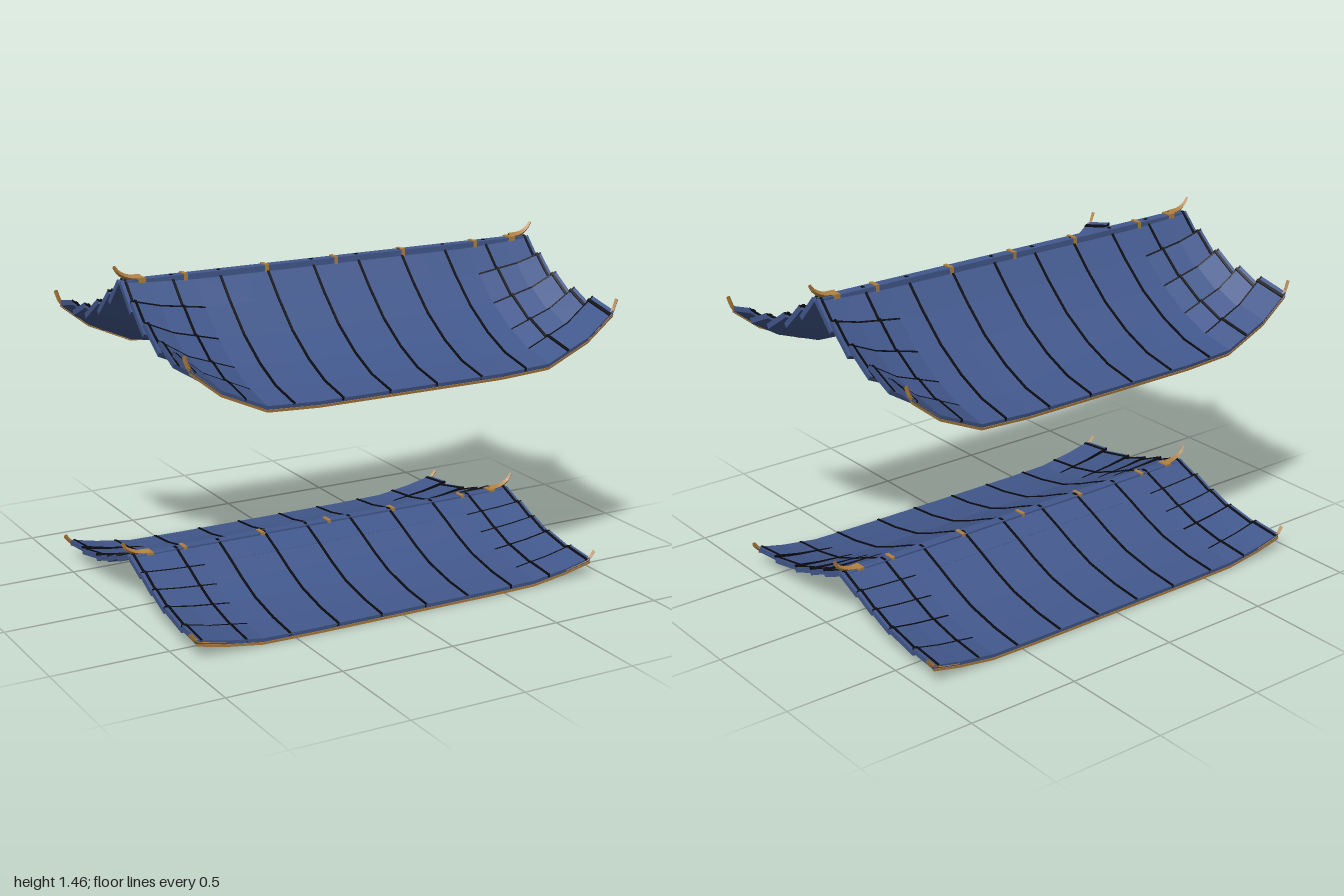
import * as THREE from 'three';
import { mergeGeometries } from 'three/addons/utils/BufferGeometryUtils.js';

const mat = (name, color) => {
  const m = new THREE.MeshStandardMaterial({ color, flatShading: true });
  m.name = name;
  return m;
};

// Two tiers; profile = [distance from ridge, underside height], eave to ridge
const TIERS = [
  {
    name: 'upperRoof', z: 0.035, half: 0.97, ridgeTop: 1.4, lift: 0.2, rowLift: [1, 0.78, 0.55, 0.32, 0.1],
    profile: [[0.645, 0.968], [0.495, 1.0], [0.36, 1.06], [0.22, 1.15], [0.1, 1.26], [0, 1.365]],
    battens: [0.107, 0.32, 0.535, 0.745, 0.95], hornTip: [0.99, 1.455], cornerTip: [0.99, 1.235],
  },
  {
    name: 'lowerRoof', z: -0.025, half: 0.94, ridgeTop: 0.222, lift: 0.055, rowLift: [1, 0.75, 0.55, 0.35, 0.12],
    profile: [[0.652, 0.008], [0.51, 0.022], [0.345, 0.055], [0.225, 0.1], [0.115, 0.15], [0, 0.198]],
    battens: [0.107, 0.31, 0.53, 0.725, 0.92], hornTip: [0.965, 0.28], cornerTip: [0.965, 0.11],
  },
];
const THICK = 0.022;

// Upturn of the roof ends: 0 in the middle, 1 at the gable ends
function upturn(x, half) {
  const a = Math.abs(x);
  const pts = [[0, 0], [0.42, 0], [0.65, 0.06], [half - 0.125, 0.5], [half, 1]];
  for (let i = 1; i < pts.length; i++) {
    const [x0, u0] = pts[i - 1], [x1, u1] = pts[i];
    if (a <= x1) return u0 + (u1 - u0) * (a - x0) / (x1 - x0);
  }
  return 1;
}

// A strip of one roof row: stations xs, from fraction f0 (outer) to f1 (inner),
// between offsets lo and hi above the row's underside
function strip(tier, row, side, xs, f0, f1, lo, hi) {
  const [d0, y0] = tier.profile[row], [d1, y1] = tier.profile[row + 1];
  const len = Math.hypot(d0 - d1, y1 - y0), ny = (d0 - d1) / len, nd = (y1 - y0) / len;
  const pos = [], idx = [];
  for (const x of xs) {
    const up = tier.lift * tier.rowLift[row] * upturn(x, tier.half);
    for (const [f, h] of [[f0, lo], [f1, lo], [f1, hi], [f0, hi]]) {
      const d = d0 + (d1 - d0) * f + nd * h;
      pos.push(x, y0 + (y1 - y0) * f + ny * h + up, tier.z + side * Math.max(d, 0));
    }
  }
  const tri = (a, b, c) => (side > 0 ? idx.push(a, c, b) : idx.push(a, b, c));
  for (let i = 0; i < xs.length - 1; i++) {
    for (let k = 0; k < 4; k++) {
      const a = i * 4 + k, b = i * 4 + (k + 1) % 4;
      tri(a, a + 4, b + 4);
      tri(a, b + 4, b);
    }
  }
  const e = (xs.length - 1) * 4;
  tri(0, 1, 2); tri(0, 2, 3);
  tri(e, e + 2, e + 1); tri(e, e + 3, e + 2);
  const g = new THREE.BufferGeometry();
  g.setAttribute('position', new THREE.Float32BufferAttribute(pos, 3));
  g.setIndex(idx);
  const flat = g.toNonIndexed();
  flat.computeVertexNormals();
  return flat;
}

// Four-sided horn along a path, tapering towards the tip
function horn(points, r0, r1) {
  const n = 10;
  const curve = new THREE.CatmullRomCurve3(points.map(p => new THREE.Vector3(...p)));
  const g = new THREE.TubeGeometry(curve, n, 1, 4, false);
  const p = g.attributes.position, v = new THREE.Vector3();
  for (let i = 0; i < p.count; i++) {
    const t = Math.floor(i / 5) / n, c = curve.getPointAt(t);
    v.fromBufferAttribute(p, i).sub(c).multiplyScalar(r0 + (r1 - r0) * t).add(c);
    p.setXYZ(i, v.x, v.y, v.z);
  }
  g.computeVertexNormals();
  return g;
}

export function createModel() {
  const blue = mat('blue roof', 0x42588c);
  const black = mat('black batten', 0x0a0a10);
  const gold = mat('gold trim', 0xb08040);
  gold.side = THREE.DoubleSide;
  const model = new THREE.Group();
  model.name = 'twoTierRoof';

  for (const tier of TIERS) {
    const roof = new THREE.Group();
    roof.name = tier.name;
    model.add(roof);
    const add = (name, geo, material) => {
      const m = new THREE.Mesh(geo, material);
      m.name = name;
      roof.add(m);
      return m;
    };
    const h = tier.half, k = h - 0.125;
    const stations = [-h, -k, -0.65, -0.42, 0.42, 0.65, k, h];

    for (const side of [1, -1]) {
      const label = side > 0 ? 'front' : 'back';
      const battens = [];
      for (let row = 0; row < 5; row++) {
        // Roof slab of this row
        add(label + 'RoofRow' + (row + 1), strip(tier, row, side, stations, 0, 1, 0, THICK), blue);
        // Battens running down the slope
        for (const b of tier.battens) {
          for (const x of [b, -b]) {
            battens.push(strip(tier, row, side, [x - 0.005, x + 0.005], 0, 1.03, 0.01, THICK + 0.004));
          }
        }
        // Dark seams between the stepped rows at the gable ends
        if (row < 4) {
          for (const xs of [[-h, -k, -0.65], [0.65, k, h]]) {
            battens.push(strip(tier, row, side, xs, 0.96, 1.005, 0.012, THICK + 0.001));
          }
        }
      }
      add(label + 'Battens', mergeGeometries(battens), black);
      // Eave trim under the lower edge
      add(label + 'EaveTrim', strip(tier, 0, side, stations, -0.015, 0.05, -0.005, 0.006), gold);
      // Upturned corner horns
      const [d, y] = tier.profile[0], z = tier.z + side * (d - 0.005);
      const [tx, ty] = tier.cornerTip;
      for (const s of [1, -1]) {
        const top = x => y + tier.lift * upturn(x, h) + 0.012;
        add(label + 'CornerHorn', horn([[s * k, top(k), z], [s * (h - 0.05), top(h - 0.05), z],
          [s * h, top(h) + 0.004, z], [s * tx, ty, z]], 0.008, 0.009), gold);
      }
    }

    // Ridge beam with bands
    const beam = add('ridgeBeam', new THREE.BoxGeometry(2 * h - 0.03, 0.032, 0.045), blue);
    beam.position.set(0, tier.ridgeTop - 0.018, tier.z);
    for (const x of [-0.69, -0.325, 0, 0.325, 0.69]) {
      const band = add('ridgeBand', new THREE.BoxGeometry(0.016, 0.036, 0.05), gold);
      band.position.set(x, tier.ridgeTop - 0.015, tier.z);
    }
    for (const b of tier.battens.slice(0, 4)) {
      for (const x of [b, -b]) {
        const peg = add('ridgePeg', new THREE.BoxGeometry(0.012, 0.006, 0.014), black);
        peg.position.set(x, tier.ridgeTop - 0.002, tier.z);
      }
    }
    // Curled finials at the ridge ends
    const [hx, hy] = tier.hornTip, ry = tier.ridgeTop;
    for (const s of [1, -1]) {
      add('ridgeHorn', horn([[s * (h - 0.09), ry, tier.z], [s * (h - 0.035), ry + 0.008, tier.z],
        [s * (hx - 0.018), ry + 0.03, tier.z], [s * hx, hy, tier.z]], 0.016, 0.007), gold);
      const cap = add('ridgeEndCap', new THREE.BoxGeometry(0.03, 0.02, 0.05), gold);
      cap.position.set(s * (h - 0.09), ry - 0.006, tier.z);
    }
  }
  return model;
}
